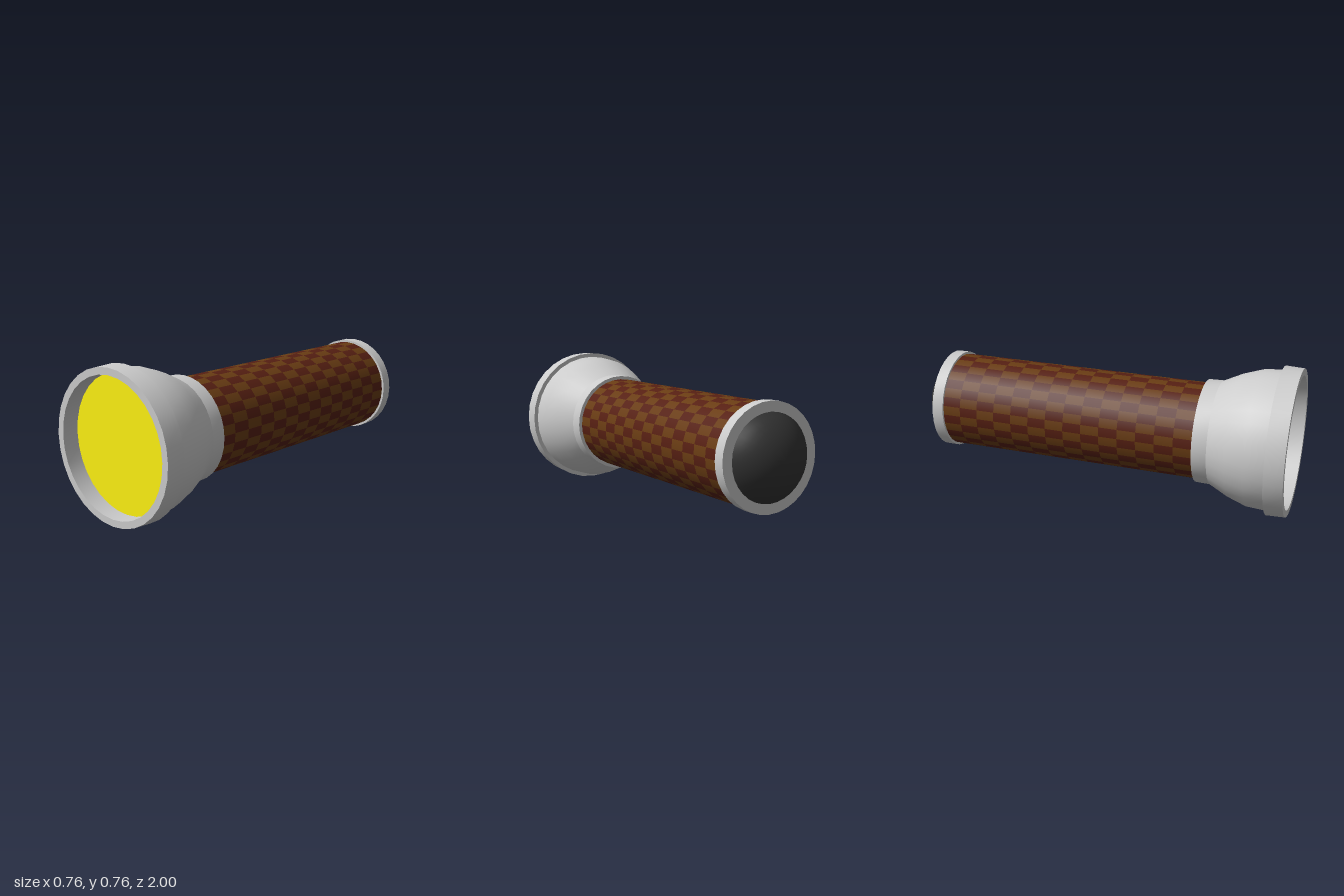
import * as THREE from 'three';
import { toCreasedNormals } from 'three/addons/utils/BufferGeometryUtils.js';

const SIDES = 32;
const ROWS = 14;
const AXIS_HEIGHT = 0.378;

const paint = (color) => new THREE.MeshStandardMaterial({ color });

// Revolve [radius, z] pairs around the torch's long axis; the profile runs towards +z on its outside
function turned(name, profile, material, crease = 0.4) {
  const points = profile.map(([r, z]) => new THREE.Vector2(r, z));
  const lathe = new THREE.LatheGeometry(points, SIDES);
  const mesh = new THREE.Mesh(toCreasedNormals(lathe, crease), material);
  mesh.name = name;
  mesh.rotation.x = Math.PI / 2;
  return mesh;
}

// Every second cell of the handle tube, so that two of these form a checkerboard
function checkerHalf(name, parity, color) {
  const length = 1.36;
  const geometry = new THREE.CylinderGeometry(0.248, 0.248, length, SIDES, ROWS, true);
  const cells = Array.from(geometry.index.array).filter((_, i) => {
    const cell = Math.floor(i / 6);
    return (Math.floor(cell / ROWS) + (cell % ROWS)) % 2 === parity;
  });
  geometry.setIndex(cells);
  const mesh = new THREE.Mesh(geometry, paint(color));
  mesh.name = name;
  mesh.rotation.x = Math.PI / 2;
  mesh.position.z = -0.15;
  return mesh;
}

export function createModel() {
  const torch = new THREE.Group();
  torch.name = 'flashlight';
  const body = new THREE.Group();
  body.position.y = AXIS_HEIGHT;
  torch.add(body);
  const metal = paint(0xcccccc);

  // Flared head with its neck
  body.add(turned('head', [
    [0.245, 0.53], [0.266, 0.53], [0.268, 0.606], [0.316, 0.704],
    [0.35, 0.805], [0.356, 0.91],
  ], metal));

  // Rim around the recessed lens
  body.add(turned('lensRim', [
    [0.34, 0.905], [0.378, 0.905], [0.374, 1], [0.339, 1], [0.339, 0.905],
  ], metal));

  // Lens disc
  const lens = new THREE.Mesh(new THREE.CircleGeometry(0.34, SIDES), paint(0xfff312));
  lens.name = 'lens';
  lens.position.z = 0.915;
  body.add(lens);

  // Checkered handle
  const handle = new THREE.Group();
  handle.name = 'handle';
  handle.add(checkerHalf('lightChecks', 0, 0x693c13), checkerHalf('darkChecks', 1, 0x561f12));
  body.add(handle);

  // Collar at the tail end
  body.add(turned('tailCollar', [
    [0.2, -0.888], [0.26, -0.888], [0.26, -0.828], [0.24, -0.828],
  ], metal));

  // Domed tail cap, a shallow part of a sphere
  const domeRadius = 0.255;
  const dome = [];
  for (let i = 0; i <= 8; i++) {
    const a = (i / 8) * 0.97;
    dome.push([domeRadius * Math.sin(a), -1 + domeRadius * (1 - Math.cos(a))]);
  }
  body.add(turned('tailCap', dome, paint(0x333333), 0.6));

  return torch;
}
